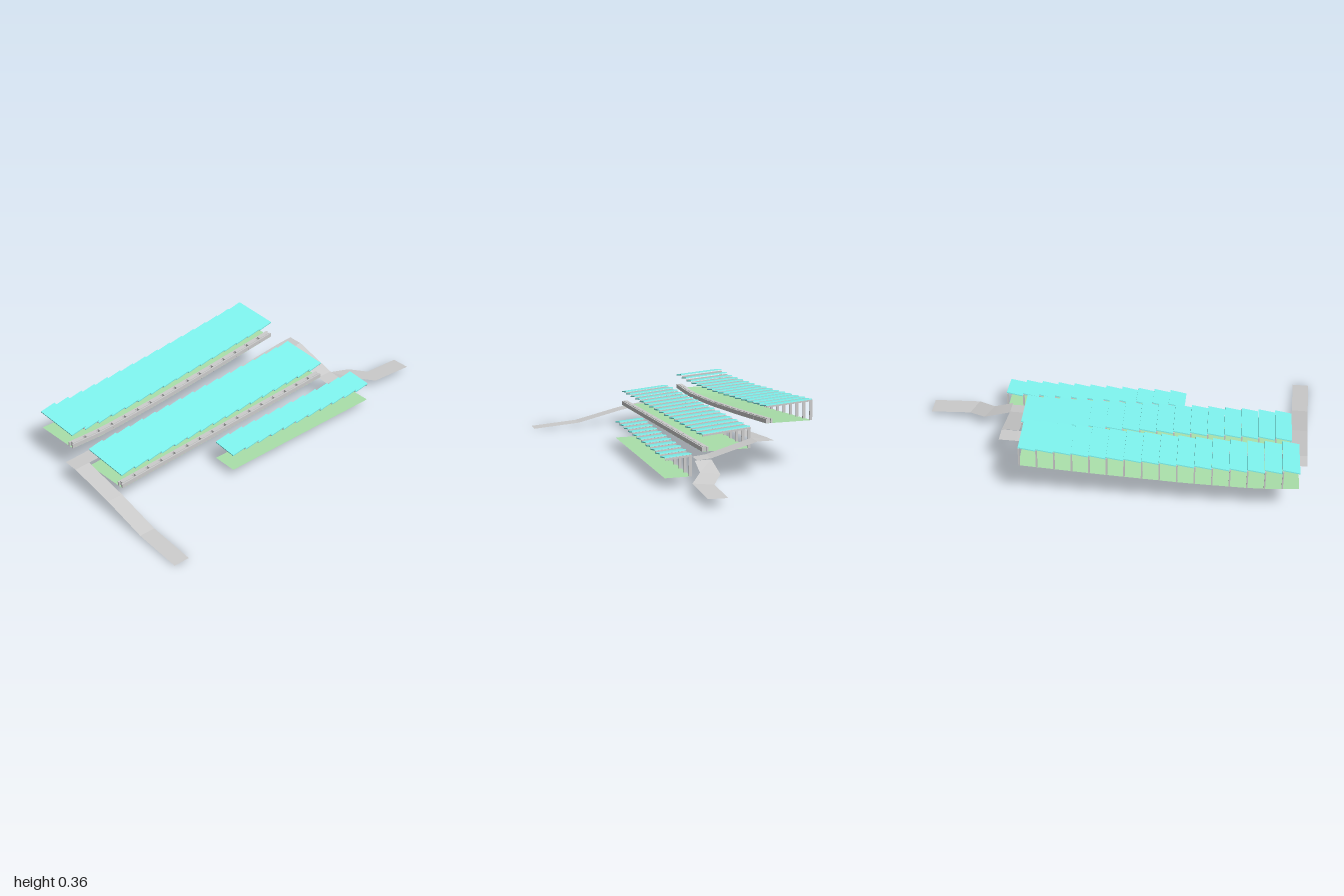
import * as THREE from 'three';

const mat = (color) => new THREE.MeshStandardMaterial({ color, side: THREE.DoubleSide, flatShading: true });
const grey = mat(0xcccccc), green = mat(0xaae0aa), blue = mat(0x7ff5f0);

// thin surface through pairs of edge points [a, b]
function ribbon(name, rows, material) {
  const pos = [];
  for (let i = 0; i < rows.length - 1; i++) {
    const [a, b] = rows[i], [c, d] = rows[i + 1];
    pos.push(...a, ...b, ...d, ...a, ...d, ...c);
  }
  const g = new THREE.BufferGeometry();
  g.setAttribute('position', new THREE.Float32BufferAttribute(pos, 3));
  g.computeVertexNormals();
  const m = new THREE.Mesh(g, material);
  m.name = name;
  return m;
}

function box(name, size, at, material, parent) {
  const m = new THREE.Mesh(new THREE.BoxGeometry(...size), material);
  m.name = name;
  m.position.set(...at);
  parent.add(m);
  return m;
}

// linear interpolation in a list of [t, y]
function profile(pts, t) {
  let i = 0;
  while (i < pts.length - 2 && t > pts[i + 1][0]) i++;
  const [t0, y0] = pts[i], [t1, y1] = pts[i + 1];
  return y0 + (y1 - y0) * (t - t0) / (t1 - t0);
}

// floor, stepped canopy with one frame per bay, and an optional front kerb
function terrace({ name, from, to, depth, bays, floor, height, tilt, kerb }) {
  const group = new THREE.Group();
  group.name = name;
  const dx = to[0] - from[0], dz = to[1] - from[1];
  const length = Math.hypot(dx, dz), w = length / bays;
  group.position.set(from[0], 0, from[1]);
  group.rotation.y = Math.atan2(-dz, dx);

  const rows = [];
  for (let i = 0; i <= bays; i++) {
    const y = profile(floor, i / bays);
    rows.push([[i * w, y, -depth / 2], [i * w, y, depth / 2]]);
  }
  group.add(ribbon('terraceFloor', rows, green));

  for (let i = 0; i < bays; i++) {
    const y0 = profile(floor, i / bays), y1 = profile(floor, (i + 1) / bays);
    const ym = (y0 + y1) / 2, x = (i + 0.5) * w;

    // roof panel: lower at the front, rising across its bay
    const panel = box('roofPanel', [w, 0.006, depth],
      [x, ym + height - tilt / 2, 0], blue, group);
    panel.rotation.set(Math.atan2(tilt, depth), 0, Math.atan2(0.015, w));

    // back post and roof beam at the far side of the bay
    const px = (i + 1) * w - 0.004;
    box('post', [0.007, height, 0.014], [px, y1 + height / 2, -depth / 2 + 0.005], grey, group);
    const beam = box('roofBeam', [0.006, 0.009, depth * 0.96],
      [px, y1 + height - tilt / 2 - 0.003, 0], grey, group);
    beam.rotation.x = Math.atan2(tilt, depth);

    if (kerb) {
      const tiltX = Math.atan2(y1 - y0, w), z = depth / 2 - 0.018;
      // low double rail with blocks between
      for (const s of [-1, 1]) {
        box('kerbRail', [w, 0.022, 0.009], [x, ym + 0.011, z + s * 0.013], grey, group).rotation.z = tiltX;
      }
      box('kerbBlock', [w * 0.8, 0.024, 0.02], [x, ym + 0.013, z], grey, group).rotation.z = tiltX;
    }
  }
  return group;
}

export function createModel() {
  const model = new THREE.Group();
  model.name = 'terracedCanopies';

  model.add(terrace({
    name: 'upperTerrace', from: [-0.955, -0.4], to: [0.418, -0.455], depth: 0.25, bays: 16,
    floor: [[0, 0.185], [0.15, 0.173], [0.4, 0.186], [0.7, 0.214], [1, 0.247]],
    height: 0.105, tilt: 0.018, kerb: true,
  }));
  model.add(terrace({
    name: 'middleTerrace', from: [-0.912, -0.06], to: [0.463, -0.108], depth: 0.255, bays: 16,
    floor: [[0, 0.112], [1, 0.135]], height: 0.105, tilt: 0.022, kerb: true,
  }));
  model.add(terrace({
    name: 'lowerTerrace', from: [-0.35, 0.18], to: [0.597, 0.18], depth: 0.135, bays: 11,
    floor: [[0, 0.048], [1, 0.048]], height: 0.105, tilt: 0.011, kerb: false,
  }));

  // ramp up from the front
  model.add(ribbon('frontRamp', [[0.58, 0], [0.32, 0.02], [0.07, 0.08], [-0.195, 0.125]]
    .map(([z, y]) => [[-0.915, y, z], [-1, y, z]]), grey));

  // road between the upper and middle terraces
  model.add(ribbon('road', [[-1, 0.125], [-0.91, 0.125], [-0.3, 0.14], [0.1, 0.158], [0.47, 0.187], [0.56, 0.19]]
    .map(([x, y]) => {
      const z = -0.275 - 0.047 * (x + 1) / 1.56;
      return [[x, y, z], [x, y, z + 0.083]];
    }), grey));

  // side ramp down to the landing
  model.add(ribbon('sideRamp', [[-0.237, 0.19], [0, 0.122], [0.07, 0.115]]
    .map(([z, y]) => [[0.47, y, z], [0.56, y, z]].reverse()), grey));

  // winding path away from the landing
  model.add(ribbon('sidePath', [
    [[0.56, 0.117, 0], [0.56, 0.115, 0.085]],
    [[0.7, 0.075, 0], [0.66, 0.08, 0.09]],
    [[0.79, 0.05, 0.06], [0.755, 0.054, 0.157]],
    [[1, 0.038, 0.06], [1, 0.04, 0.16]],
  ].map(([a, b]) => [a, b]), grey));

  return model;
}
